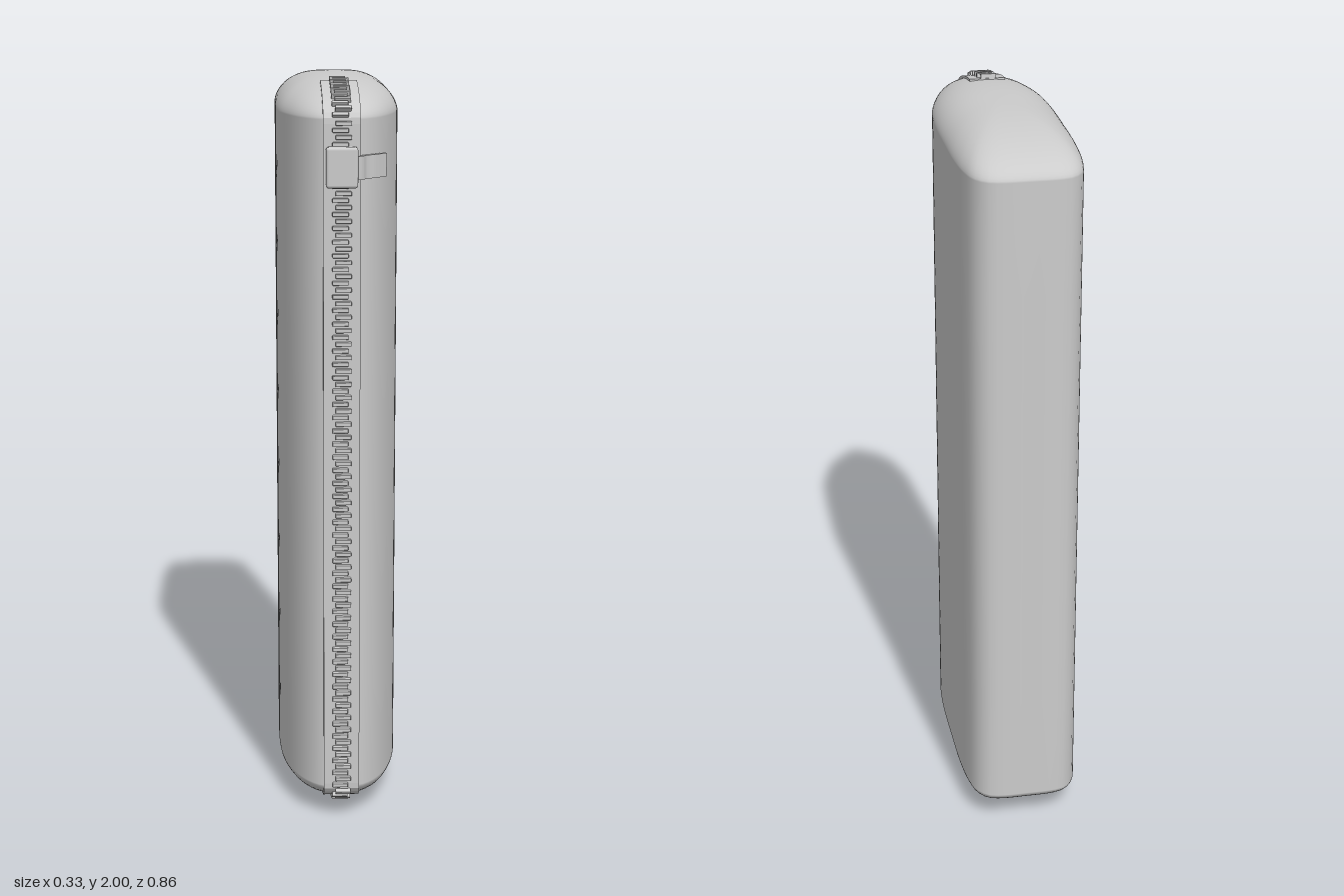
import * as THREE from 'three';
import { mergeGeometries } from 'three/addons/utils/BufferGeometryUtils.js';
import { RoundedBoxGeometry } from 'three/addons/geometries/RoundedBoxGeometry.js';

const grey = new THREE.MeshStandardMaterial({ color: 0xcccccc });
const MID_Z = -0.02, HALF_DEPTH = 0.41, RIM = 0.905, DOME = 0.09;

// Domed end: a = 0 at the crown, PI/2 at the rim; gives outline scale and height from mid-body
const dome = (a) => ({
  s: Math.pow(Math.sin(a), 0.8),
  h: RIM + DOME * Math.pow(Math.max(0, Math.cos(a)), 1.2),
});

function part(name, geometry) {
  const mesh = new THREE.Mesh(geometry, grey);
  mesh.name = name;
  return mesh;
}

// Soft pouch: one horizontal outline, scaled into a dome at both ends
function bodyGeometry() {
  const half = [[0.07, -0.429], [0.108, -0.42], [0.136, -0.39], [0.152, -0.33], [0.161, -0.23],
    [0.163, -0.1], [0.163, 0.05], [0.156, 0.15], [0.142, 0.22], [0.115, 0.3], [0.085, 0.35], [0.05, 0.38]];
  const loop = [[0, -0.43], ...half, [0, 0.39], ...half.slice().reverse().map(([x, z]) => [-x, z])];
  const outline = new THREE.CatmullRomCurve3(loop.map(([x, z]) => new THREE.Vector3(x, 0, z)), true);
  const N = 96, CAP = 18, WALL = 6;
  const ring = outline.getSpacedPoints(N).slice(0, N);
  const levels = [];
  for (let i = 0; i <= CAP; i++) {
    const { s, h } = dome((i / CAP) * Math.PI / 2);
    levels.push([s, 1 - h]);
  }
  for (let i = 1; i < WALL; i++) levels.push([1, 1 - RIM + 2 * RIM * i / WALL]);
  for (let i = CAP; i >= 0; i--) levels.push([levels[i][0], 2 - levels[i][1]]);

  const pos = [], index = [];
  levels.forEach(([s, y], j) => {
    ring.forEach((p, i) => {
      pos.push(p.x * s, y, MID_Z + (p.z - MID_Z) * s);
      if (j === 0) return;
      const k = (i + 1) % N, lo = (j - 1) * N, hi = j * N;
      index.push(lo + i, hi + i, lo + k, lo + k, hi + i, hi + k);
    });
  });
  const g = new THREE.BufferGeometry();
  g.setAttribute('position', new THREE.Float32BufferAttribute(pos, 3));
  g.setIndex(index);
  g.computeVertexNormals();
  return g;
}

// Zip line in the middle plane: over the top, down the front, under the bottom
function zipPath() {
  const start = Math.asin(Math.pow(0.49, 1 / 0.8));
  const cap = [];
  for (let i = 0; i <= 16; i++) {
    const { s, h } = dome(start + (Math.PI / 2 - start) * i / 16);
    cap.push(new THREE.Vector3(0, 1 + h, MID_Z + HALF_DEPTH * s));
  }
  const under = cap.map((p) => new THREE.Vector3(0, 2 - p.y, p.z)).reverse();
  const path = new THREE.CurvePath();
  path.add(new THREE.CatmullRomCurve3(cap));
  path.add(new THREE.LineCurve3(cap[16], under[0]));
  path.add(new THREE.CatmullRomCurve3(under));
  return path;
}

// Point and outward direction on the zip line
function zipFrame(path, u) {
  const p = path.getPoint(u), t = path.getTangent(u);
  return { p, t, n: new THREE.Vector3(0, t.z, -t.y) };
}

// Flat band following the zip line
function tapeGeometry(path) {
  const outer = [], inner = [];
  for (let i = 0; i <= 160; i++) {
    const { p, n } = zipFrame(path, i / 160);
    outer.push(new THREE.Vector2(p.z + n.z * 0.003, p.y + n.y * 0.003));
    inner.push(new THREE.Vector2(p.z - n.z * 0.014, p.y - n.y * 0.014));
  }
  const shape = new THREE.Shape([...outer, ...inner.reverse()]);
  const g = new THREE.ExtrudeGeometry(shape, { depth: 0.096, bevelEnabled: false });
  return g.translate(0, 0, -0.048).rotateY(-Math.PI / 2);
}

// Interlocking teeth, shifted left and right in turn
function teethGeometry(path) {
  const count = Math.round(path.getLength() / 0.0178);
  const teeth = [];
  for (let i = 0; i < count; i++) {
    const { p, t, n } = zipFrame(path, (i + 0.5) / count);
    const m = new THREE.Matrix4().makeBasis(new THREE.Vector3(1, 0, 0), t.clone().negate(), n);
    m.setPosition(p.addScaledVector(n, 0.008).setX(i % 2 ? 0.004 : -0.004));
    teeth.push(new RoundedBoxGeometry(0.042, 0.011, 0.014, 1, 0.002).applyMatrix4(m));
  }
  return mergeGeometries(teeth);
}

// Bent pull tab, swept round the side of the slider
function pullGeometry() {
  const curve = new THREE.CatmullRomCurve3([[0.032, 0.412], [0.048, 0.402], [0.06, 0.382],
    [0.085, 0.362], [0.114, 0.33]].map(([x, z]) => new THREE.Vector3(x, -z, 0)));
  const a = [], b = [];
  for (let i = 0; i <= 20; i++) {
    const p = curve.getPoint(i / 20), t = curve.getTangent(i / 20);
    a.push(new THREE.Vector2(p.x - t.y * 0.005, p.y + t.x * 0.005));
    b.push(new THREE.Vector2(p.x + t.y * 0.005, p.y - t.x * 0.005));
  }
  const shape = new THREE.Shape([...a, ...b.reverse()]);
  const g = new THREE.ExtrudeGeometry(shape, { depth: 0.06, bevelEnabled: false });
  return g.rotateX(-Math.PI / 2).translate(0, 1.755, 0);
}

export function createModel() {
  const model = new THREE.Group();
  model.name = 'zipPouch';
  const path = zipPath();
  model.add(part('body', bodyGeometry()));
  model.add(part('zipTape', tapeGeometry(path)));
  model.add(part('zipTeeth', teethGeometry(path)));

  const slider = new THREE.Group();
  slider.name = 'zipSlider';
  const block = part('sliderBlock', new RoundedBoxGeometry(0.082, 0.104, 0.03, 3, 0.008));
  block.position.set(-0.001, 1.787, 0.412);
  slider.add(block, part('pullTab', pullGeometry()));
  model.add(slider);
  return model;
}
